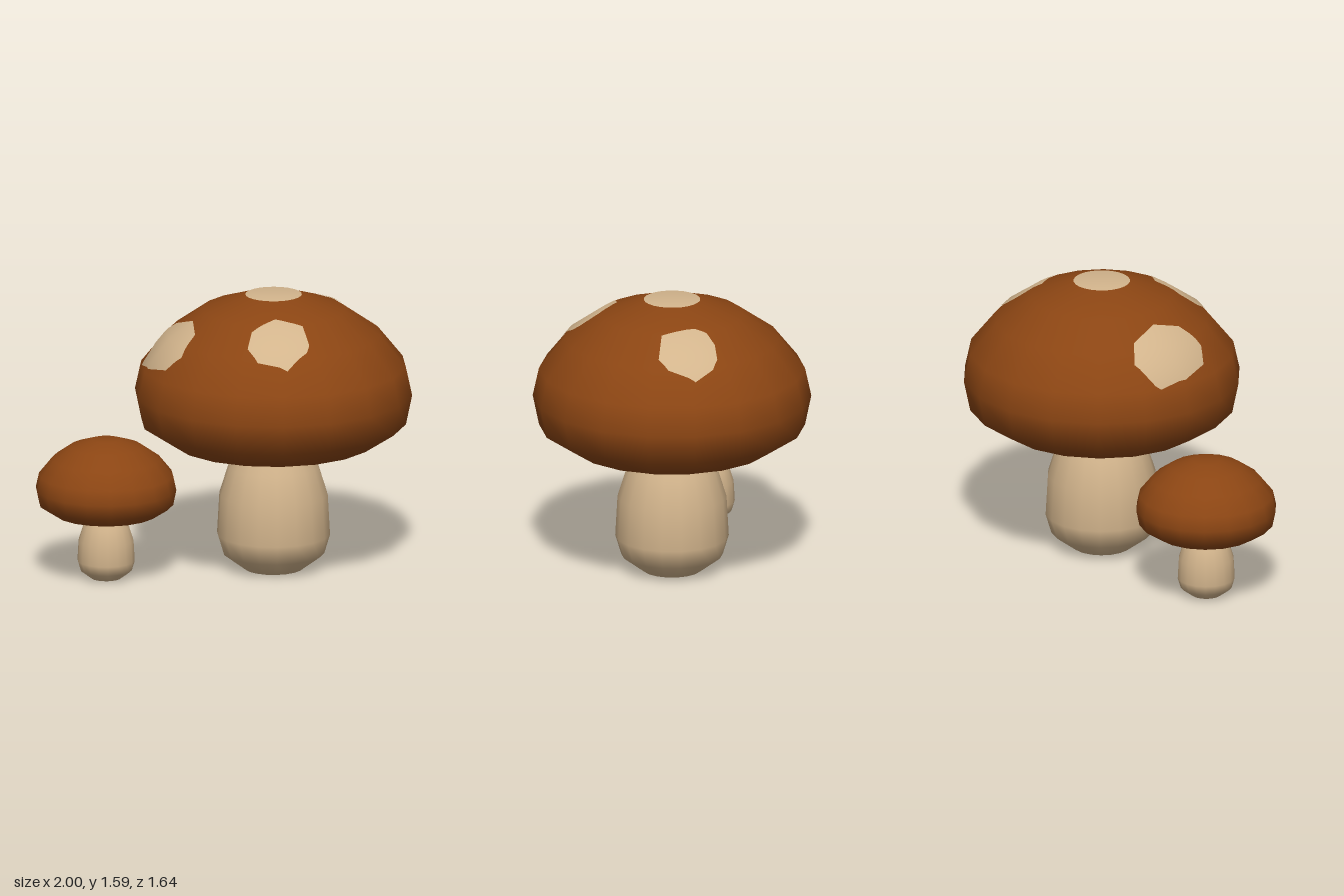
import * as THREE from 'three';

const SIDES = 18;
const BIG = { x: 0.232, z: -0.04 };
// radius, height pairs from bottom to top
const CAP = [[0, 0.69], [0.21, 0.69], [0.57, 0.735], [0.745, 0.85], [0.78, 1.02],
  [0.745, 1.18], [0.6, 1.36], [0.4, 1.5], [0.16, 1.58], [0, 1.58]];
const STEM = [[0.165, 0], [0.285, 0.09], [0.318, 0.2], [0.305, 0.43], [0.255, 0.59], [0.2, 0.7]];

const lathe = (profile) =>
  new THREE.LatheGeometry(profile.map(([r, y]) => new THREE.Vector2(r, y)), SIDES);

// Height of the faceted cap top above a point given relative to its axis
function capHeight(x, z) {
  const step = (2 * Math.PI) / SIDES;
  const a = Math.atan2(x, z);
  const fromMid = a - (Math.floor(a / step) + 0.5) * step;
  const r = Math.hypot(x, z) * Math.cos(fromMid) / Math.cos(step / 2);
  for (let i = 4; i < CAP.length - 1; i++) {
    const [r0, y0] = CAP[i], [r1, y1] = CAP[i + 1];
    if (r <= r0 && r >= r1) return y0 + (y1 - y0) * (r0 - r) / (r0 - r1);
  }
  return CAP[4][1];
}

// Thin patch following the cap, from a plan outline [x, z]
function spotGeometry(outline) {
  const rings = 8, split = 4, rim = [];
  outline.forEach(([x, z], i) => {
    const [nx, nz] = outline[(i + 1) % outline.length];
    for (let k = 0; k < split; k++) rim.push([x + (nx - x) * k / split, z + (nz - z) * k / split]);
  });
  const cx = outline.reduce((s, p) => s + p[0], 0) / outline.length;
  const cz = outline.reduce((s, p) => s + p[1], 0) / outline.length;
  const pos = [], nor = [], index = [], n = rim.length;
  for (let j = 0; j <= rings; j++) {
    for (const [px, pz] of rim) {
      const x = cx + (px - cx) * j / rings - BIG.x;
      const z = cz + (pz - cz) * j / rings - BIG.z;
      const y = capHeight(x, z);
      const up = new THREE.Vector3(x / 0.608, (y - 1.02) / 0.325, z / 0.608).normalize();
      pos.push(x + up.x * 0.005, y + up.y * 0.005, z + up.z * 0.005);
      nor.push(up.x, up.y, up.z);
    }
  }
  for (let j = 0; j < rings; j++) {
    for (let i = 0; i < n; i++) {
      const a = j * n + i, b = j * n + (i + 1) % n, c = a + n, d = b + n;
      index.push(b, d, c);
      if (j > 0) index.push(a, b, c);
    }
  }
  const g = new THREE.BufferGeometry();
  g.setAttribute('position', new THREE.Float32BufferAttribute(pos, 3));
  g.setAttribute('normal', new THREE.Float32BufferAttribute(nor, 3));
  g.setIndex(index);
  return g;
}

export function createModel() {
  const brown = new THREE.MeshStandardMaterial({ name: 'capBrown', color: 0x8b4513 });
  const tan = new THREE.MeshStandardMaterial({ name: 'stemTan', color: 0xd2b48c });
  const model = new THREE.Group();
  model.name = 'mushrooms';

  const add = (parent, name, geometry, material) => {
    const m = new THREE.Mesh(geometry, material);
    m.name = name;
    parent.add(m);
    return m;
  };

  // Stem, flat foot and cap
  function mushroom(name, x, z, scale) {
    const g = new THREE.Group();
    g.name = name;
    add(g, 'stem', lathe(STEM), tan);
    const foot = new THREE.CircleGeometry(STEM[0][0], SIDES, Math.PI / 2);
    add(g, 'stemFoot', foot.rotateX(Math.PI / 2), tan);
    add(g, 'cap', lathe(CAP), brown);
    g.position.set(x, 0, z);
    g.scale.setScalar(scale);
    model.add(g);
    return g;
  }
  const big = mushroom('largeMushroom', BIG.x, BIG.z, 1);
  mushroom('smallMushroom', -0.611, 0.424, 0.507);

  // Spots on the large cap
  const circle = Array.from({ length: 24 }, (_, i) => {
    const t = (i / 24) * Math.PI * 2;
    return [BIG.x + 0.158 * Math.cos(t), BIG.z + 0.158 * Math.sin(t)];
  });
  const spots = {
    topSpot: circle,
    frontSpot: [[0.23, 0.4], [0.33, 0.275], [0.49, 0.275], [0.555, 0.37], [0.555, 0.42],
      [0.48, 0.55], [0.31, 0.56], [0.235, 0.5]],
    backSpot: [[0.45, -0.555], [0.51, -0.575], [0.63, -0.55], [0.7, -0.41], [0.69, -0.33],
      [0.575, -0.255], [0.405, -0.35], [0.38, -0.42], [0.395, -0.49]],
    rightSpot: [[-0.4, 0.05], [-0.3, 0.06], [-0.17, 0.19], [-0.115, 0.34], [-0.16, 0.46],
      [-0.25, 0.46], [-0.385, 0.34], [-0.465, 0.19], [-0.46, 0.16]],
  };
  for (const [name, outline] of Object.entries(spots)) add(big, name, spotGeometry(outline), tan);

  return model;
}
